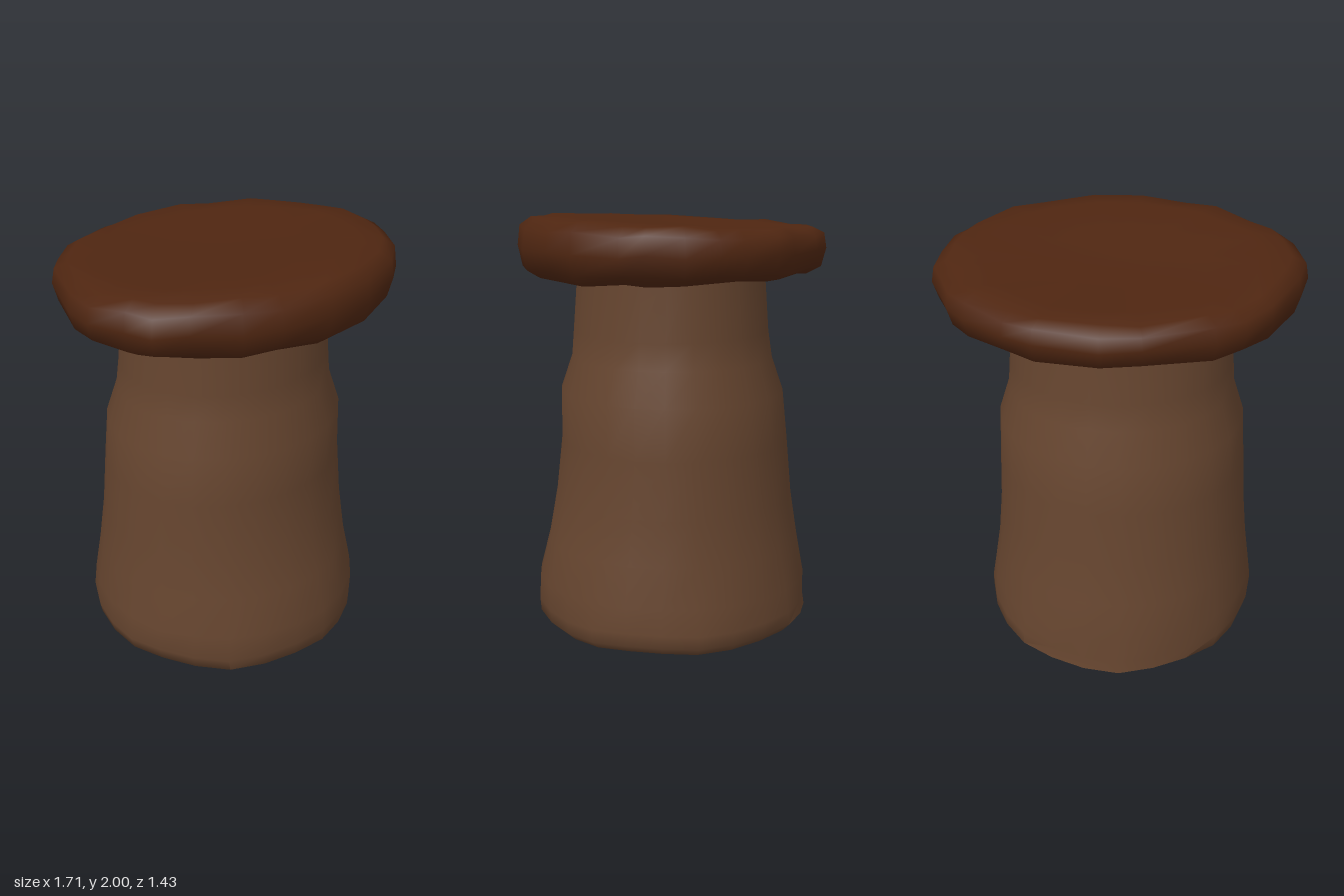
import * as THREE from 'three';
import { toCreasedNormals } from 'three/addons/utils/BufferGeometryUtils.js';

// Skins closed rings (bottom to top, equal point counts) and fans both ends shut.
function loft(rings, bottom, top, crease) {
  const n = rings[0].length, last = (rings.length - 1) * n;
  const points = [...rings.flat(), bottom, top];
  const b = points.length - 2, t = points.length - 1, index = [];
  for (let j = 0; j < n; j++) {
    const k = (j + 1) % n;
    for (let i = 0; i < last; i += n) {
      index.push(i + j, i + n + j, i + k, i + n + j, i + n + k, i + k);
    }
    index.push(b, j, k, t, last + k, last + j);
  }
  const geo = new THREE.BufferGeometry();
  geo.setAttribute('position', new THREE.Float32BufferAttribute(points.flat(), 3));
  geo.setIndex(index);
  return toCreasedNormals(geo, crease);
}

// Stem: height, then reach to +x, -x, +z, -z
const STEM = [
  [0.025, 0.64, 0.60, 0.61, 0.65],
  [0.06, 0.67, 0.67, 0.65, 0.69],
  [0.12, 0.67, 0.69, 0.655, 0.68],
  [0.24, 0.65, 0.675, 0.65, 0.67],
  [0.43, 0.62, 0.65, 0.60, 0.635],
  [0.65, 0.60, 0.63, 0.56, 0.60],
  [0.92, 0.59, 0.615, 0.53, 0.575],
  [1.16, 0.58, 0.60, 0.53, 0.55],
  [1.32, 0.53, 0.55, 0.475, 0.495],
  [1.45, 0.52, 0.54, 0.465, 0.475],
  [1.78, 0.52, 0.53, 0.44, 0.45],
];

function stemGeometry() {
  const sides = 24;
  const rings = STEM.map(([y, px, nx, pz, nz], row) =>
    Array.from({ length: sides }, (_, j) => {
      const a = (j / sides) * Math.PI * 2, c = Math.cos(a), s = Math.sin(a);
      // the foot is slightly chipped
      const chip = row < 3 ? 1 - 0.02 * Math.sin(4 * a) ** 2 : 1;
      const lift = row < 3 ? 0.012 * Math.sin(3 * a + 1) * Math.sin(2 * a) : 0;
      return [c * (c > 0 ? px : nx) * chip, y + lift, s * (s > 0 ? pz : nz) * chip];
    }));
  return loft(rings, [0, 0, 0], [0, 1.78, 0], 0.9);
}

// Cap: irregular outline (x, z), running from the left side round the front
const OUTLINE = [
  [0.85, -0.05], [0.83, 0.10], [0.79, 0.27], [0.74, 0.37], [0.57, 0.55], [0.42, 0.64],
  [0.14, 0.715], [-0.12, 0.715], [-0.35, 0.64], [-0.51, 0.56], [-0.67, 0.41], [-0.78, 0.30],
  [-0.82, 0.18], [-0.86, 0], [-0.81, -0.17], [-0.66, -0.45], [-0.54, -0.56], [-0.41, -0.64],
  [-0.10, -0.72], [0.08, -0.72], [0.36, -0.665], [0.49, -0.58], [0.67, -0.42], [0.75, -0.33],
  [0.80, -0.17],
];

// scale of the outline, height, tilt of the ring towards the front
const CAP = [
  [0.60, 1.728, -0.01],
  [0.88, 1.728, -0.02],
  [0.97, 1.765, -0.01],
  [1.00, 1.85, 0],
  [0.985, 1.93, 0.02],
  [0.91, 1.967, 0.03],
  [0.75, 1.973, 0.035],
  [0.40, 1.957, 0.03],
];

function capGeometry() {
  const rings = CAP.map(([k, y, tilt], row) => OUTLINE.map(([x, z], j) => {
    const wobble = row > 0 && row < 6 ? 0.008 * Math.sin(j * 2.4 + row) : 0;
    return [x * k, y + tilt * z + wobble, z * k];
  }));
  return loft(rings, [0, 1.728, 0], [0, 1.95, 0], 1.1);
}

export function createModel() {
  const model = new THREE.Group();
  const add = (name, geometry, color) => {
    const mesh = new THREE.Mesh(geometry, new THREE.MeshStandardMaterial({ color }));
    mesh.name = name;
    model.add(mesh);
  };
  add('stem', stemGeometry(), 0x66452f);
  add('cap', capGeometry(), 0x4f2611);
  return model;
}
